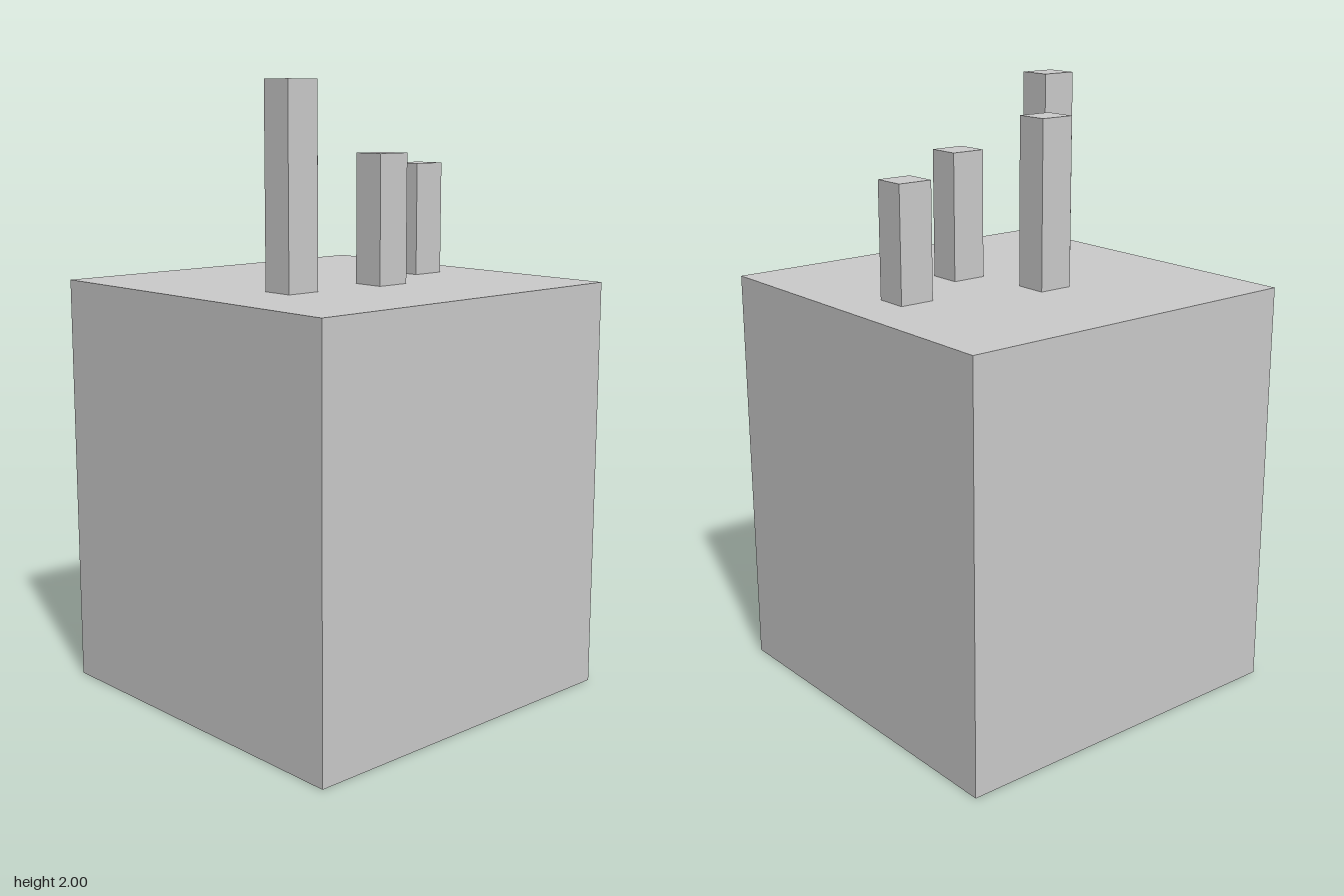
import * as THREE from 'three';

const BLOCK = { width: 1.224, height: 1.36, depth: 1.224 };
const POST = { width: 0.109, depth: 0.118 };

// Centre x, centre z and top height of each post
const POSTS = [
  { name: 'backPost', x: -0.003, z: -0.388, top: 1.732 },
  { name: 'leftPost', x: 0.154, z: -0.063, top: 1.775 },
  { name: 'rightPost', x: -0.132, z: 0.06, top: 1.9 },
  { name: 'frontPost', x: 0.123, z: 0.291, top: 2 },
];

export function createModel() {
  const model = new THREE.Group();
  model.name = 'blockWithPosts';
  const material = new THREE.MeshStandardMaterial({ color: 0xcccccc, flatShading: true });

  // Box standing on a given height
  function addBox(name, width, height, depth, x, bottom, z) {
    const mesh = new THREE.Mesh(new THREE.BoxGeometry(width, height, depth), material);
    mesh.name = name;
    mesh.position.set(x, bottom + height / 2, z);
    model.add(mesh);
  }

  // Large base block
  addBox('baseBlock', BLOCK.width, BLOCK.height, BLOCK.depth, 0, 0, 0);

  // Four square posts of different heights on the top face
  for (const { name, x, z, top } of POSTS) {
    addBox(name, POST.width, top - BLOCK.height, POST.depth, x, BLOCK.height, z);
  }

  return model;
}
